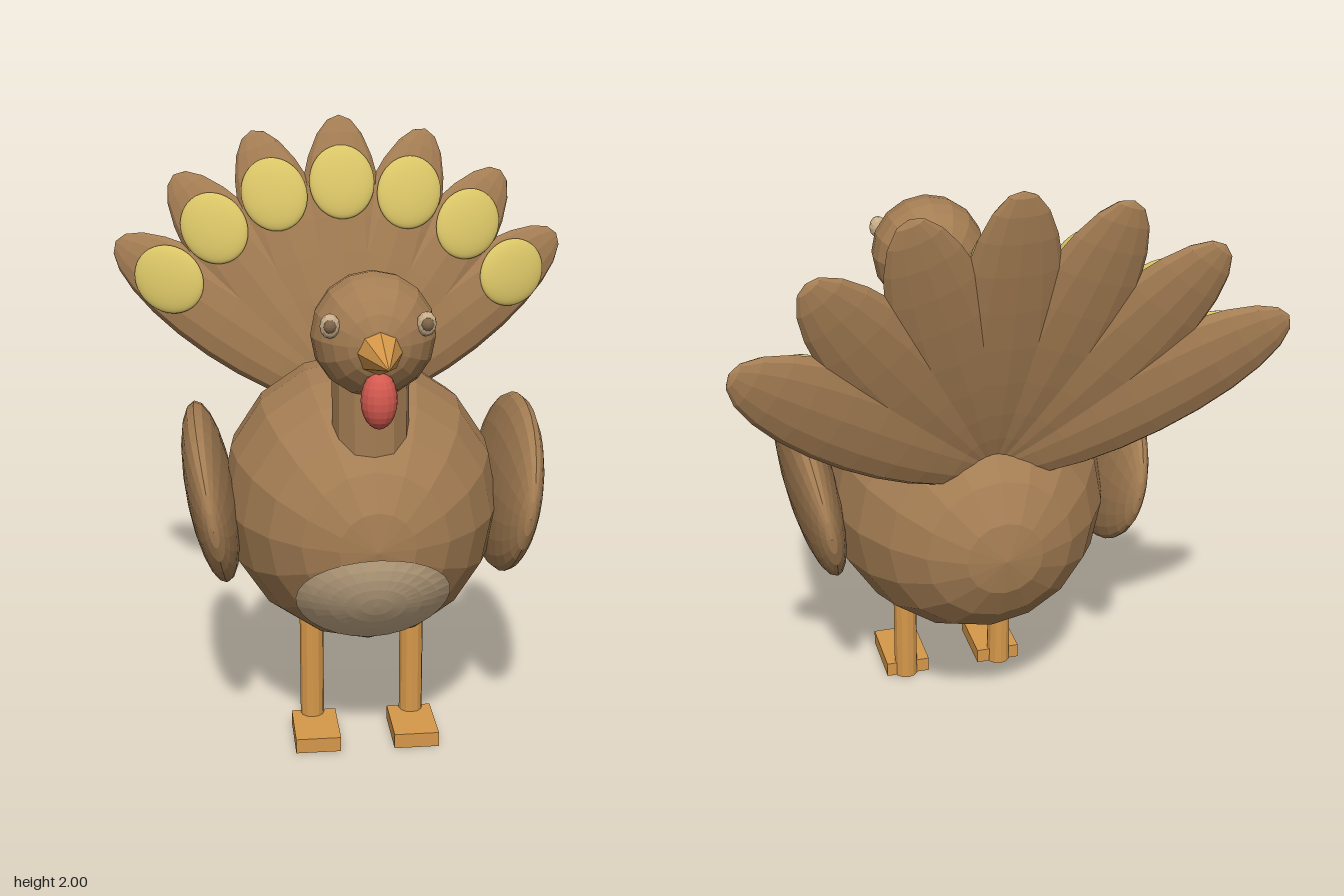
import * as THREE from 'three';

const mat = (name, color) => {
  const m = new THREE.MeshStandardMaterial({ color });
  m.name = name;
  return m;
};

// Faceted look: every face gets its own normal
function facet(geometry) {
  const g = geometry.index ? geometry.toNonIndexed() : geometry;
  g.computeVertexNormals();
  return g;
}

// Faceted ellipsoid; poles lie on z unless upright
function ellipsoid(rx, ry, rz, seg = 16, rings = 12, upright = false) {
  const g = new THREE.SphereGeometry(1, seg, rings);
  if (!upright) g.rotateX(Math.PI / 2);
  return facet(g.scale(rx, ry, rz));
}

export function createModel() {
  const brown = mat('brown plumage', 0xa47d53);
  const cream = mat('cream belly', 0xc9ae8a);
  const yellow = mat('yellow spots', 0xd9c466);
  const orange = mat('orange legs and beak', 0xd6984a);
  const red = mat('red wattle', 0xd65a50);
  const pupilColor = mat('dark pupil', 0x7d6549);

  const model = new THREE.Group();
  model.name = 'turkey';
  function add(name, geometry, material, x = 0, y = 0, z = 0, parent = model) {
    const mesh = new THREE.Mesh(geometry, material);
    mesh.name = name;
    mesh.position.set(x, y, z);
    parent.add(mesh);
    return mesh;
  }

  // Body
  const R = { x: 0.46, y: 0.467, z: 0.57 };
  const C = { y: 0.812, z: -0.06 };
  add('body', ellipsoid(R.x, R.y, R.z), brown, 0, C.y, C.z);

  // Belly patch: a disc wrapped onto the front of the body
  const patch = new THREE.RingGeometry(0.001, 1, 28, 5);
  const p = patch.attributes.position;
  for (let i = 0; i < p.count; i++) {
    const x = p.getX(i) * 0.245;
    const y = 0.615 + p.getY(i) * 0.175;
    const k = 1 - (x / R.x) ** 2 - ((y - C.y) / R.y) ** 2;
    p.setXYZ(i, x, y, C.z + R.z * Math.sqrt(Math.max(k, 0)) + 0.004);
  }
  add('bellyPatch', facet(patch), cream);

  // Neck, head, beak and wattle
  add('neck', facet(new THREE.CylinderGeometry(0.12, 0.12, 0.4, 12)), brown, 0, 1.2, 0.28);
  add('head', ellipsoid(0.19, 0.19, 0.19), brown, 0, 1.455, 0.343);
  const beak = new THREE.ConeGeometry(0.072, 0.23, 8).rotateX(Math.PI / 2);
  add('beak', facet(beak), orange, 0, 1.437, 0.615);
  add('wattle', ellipsoid(0.055, 0.088, 0.055, 16, 12, true), red, 0, 1.29, 0.5);

  for (const s of [1, -1]) {
    const side = s > 0 ? 'left' : 'right';

    // Eyes
    add(side + 'Eye', ellipsoid(0.03, 0.038, 0.026, 12, 8), cream, s * 0.142, 1.51, 0.473);
    add(side + 'Pupil', ellipsoid(0.02, 0.022, 0.018, 10, 8), pupilColor, s * 0.143, 1.512, 0.488);

    // Wings lean outward at the top
    const wing = add(side + 'Wing', ellipsoid(0.08, 0.292, 0.402, 20, 16), brown, s * 0.495, 0.85, -0.028);
    wing.rotation.z = -s * 0.17;

    // Legs and feet
    add(side + 'Leg', facet(new THREE.CylinderGeometry(0.04, 0.04, 0.44, 12)), orange, s * 0.17, 0.22, 0.025);
    add(side + 'Foot', new THREE.BoxGeometry(0.15, 0.05, 0.215), orange, s * 0.165, 0.025, 0.118);
  }

  // Tail fan: each feather leans back, then swings round the tail root
  const featherShape = ellipsoid(0.16, 0.497, 0.055, 12, 12, true);
  const spotShape = new THREE.SphereGeometry(1, 32, 20).scale(0.115, 0.132, 0.03);
  const tail = new THREE.Group();
  tail.name = 'tail';
  tail.position.set(0, 1.045, -0.445);
  model.add(tail);
  for (let i = -3; i <= 3; i++) {
    const feather = new THREE.Group();
    feather.name = 'tailFeather' + (i + 4);
    feather.rotation.order = 'ZXY';
    feather.rotation.set(-0.28, 0, THREE.MathUtils.degToRad(-19 * i));
    tail.add(feather);
    add('vane', featherShape, brown, 0, 0.497, 0, feather);
    const spot = add('spot', spotShape, yellow, 0, 0.75, 0.046, feather);
    spot.rotation.x = -0.08;
  }

  return model;
}
